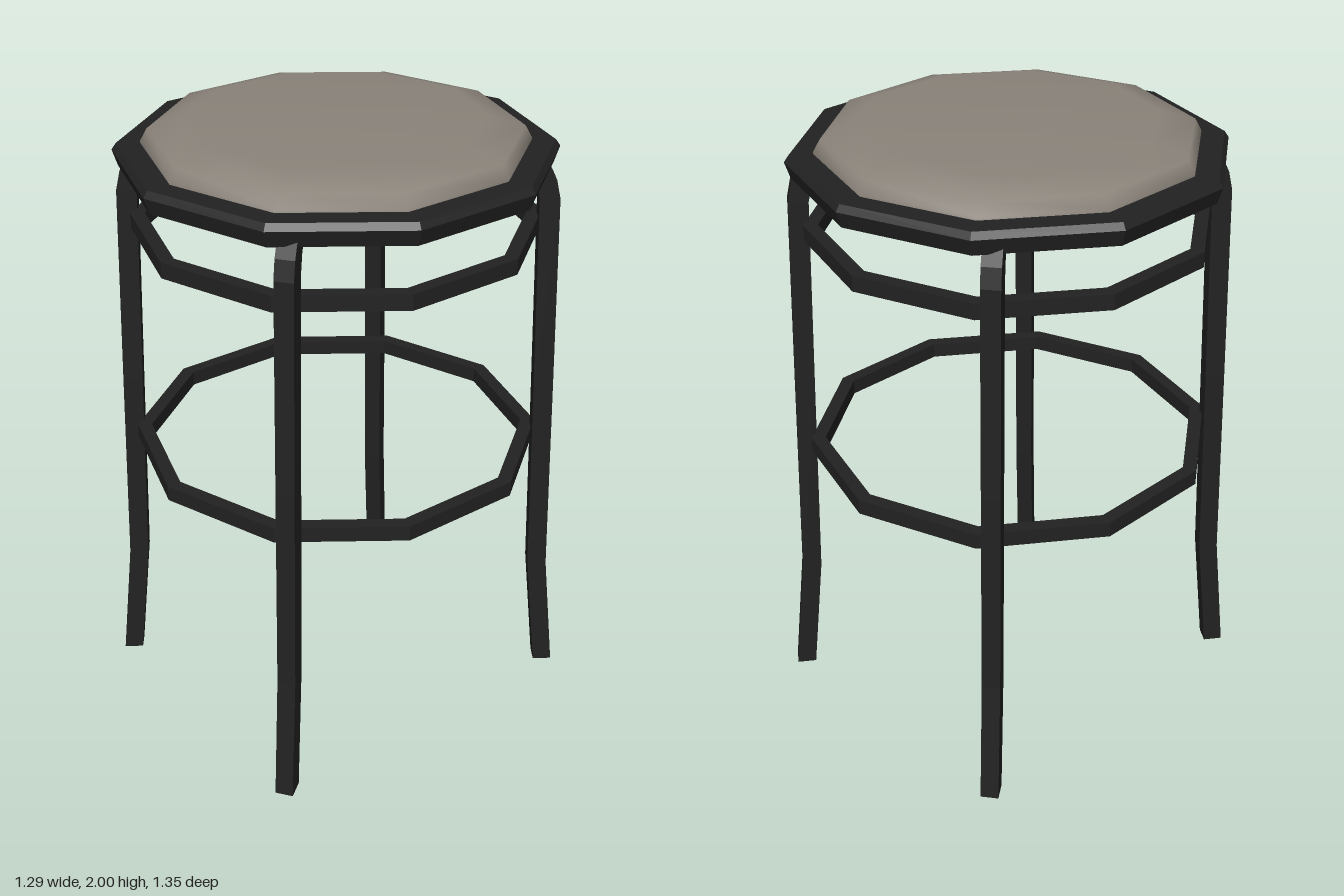
import * as THREE from 'three';

const black = new THREE.MeshStandardMaterial({ color: 0x222222 });
black.name = 'blackMetal';
const fabric = new THREE.MeshStandardMaterial({ color: 0x8a837a });
fabric.name = 'greyCushion';

// Ten-sided turned shape; profile runs bottom to top along the outside
function decagon(profile) {
  return new THREE.LatheGeometry(profile.map(([r, y]) => new THREE.Vector2(r, y)), 10);
}

// Facet a geometry so every face keeps its own normal
function faceted(geometry) {
  const g = geometry.toNonIndexed();
  g.computeVertexNormals();
  return g;
}

function addMesh(parent, name, geometry, material) {
  const mesh = new THREE.Mesh(geometry, material);
  mesh.name = name;
  parent.add(mesh);
  return mesh;
}

// Square bar bent outward at the foot and inward under the seat
function legGeometry() {
  const path = [[0, 0], [0.42, -0.045], [1.1, -0.068], [1.76, -0.091], [1.82, -0.105], [1.88, -0.135]];
  const g = new THREE.BoxGeometry(0.058, 1, 0.063, 1, path.length - 1, 1);
  const p = g.attributes.position;
  for (let i = 0; i < p.count; i++) {
    const [y, shift] = path[Math.round((p.getY(i) + 0.5) * (path.length - 1))];
    p.setY(i, y);
    p.setZ(i, p.getZ(i) + shift);
  }
  return faceted(g);
}

export function createModel() {
  const stool = new THREE.Group();
  stool.name = 'stool';

  // Seat pan with a bevelled rim
  addMesh(stool, 'seatRim', faceted(decagon([
    [0, 1.85], [0.66, 1.85], [0.676, 1.9], [0.662, 1.92], [0.585, 1.92], [0.575, 1.9], [0, 1.9],
  ])), black);

  // Padded cushion, softly shaded
  addMesh(stool, 'cushion', decagon([
    [0.59, 1.905], [0.588, 1.928], [0.567, 1.965], [0.455, 1.998], [0, 2],
  ]), fabric);

  // Upper brace and foot ring: square-section hoops
  for (const [name, r, y] of [['upperRing', 0.634, 1.67], ['footRing', 0.657, 0.92]]) {
    const w = 0.045, h = 0.025;
    addMesh(stool, name, faceted(decagon([
      [r - w, y - h], [r, y - h], [r, y + h], [r - w, y + h], [r - w, y - h],
    ])), black);
  }

  // Four splayed legs
  const leg = legGeometry();
  for (const sz of [1, -1]) {
    for (const sx of [1, -1]) {
      const name = (sz > 0 ? 'front' : 'back') + (sx > 0 ? 'Left' : 'Right') + 'Leg';
      const mesh = addMesh(stool, name, leg, black);
      mesh.position.set(sx * 0.474, 0, sz * 0.563);
      mesh.rotation.y = Math.atan2(sx * 0.588, sz * 0.809);
    }
  }
  return stool;
}
